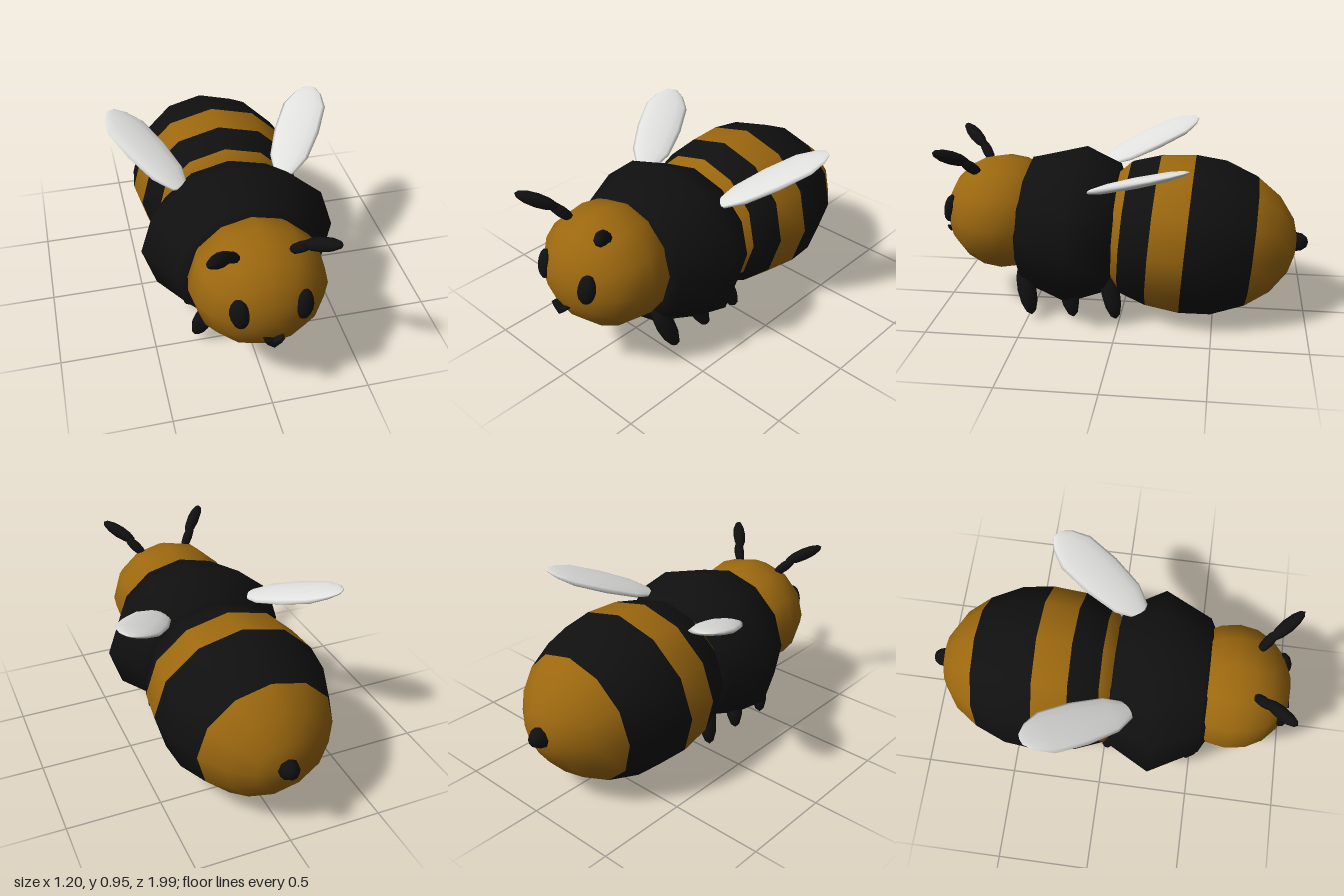
import * as THREE from 'three';

const mat = (name, color) => {
  const m = new THREE.MeshStandardMaterial({ color });
  m.name = name;
  return m;
};

// Smooth skin over elliptical rings [z, rx, ry, materialIndex], listed with z rising.
// The material index colours the band between a ring and the next one.
function loft(rings, sides = 12) {
  const pos = [], index = [];
  const geo = new THREE.BufferGeometry();
  for (const [z, rx, ry] of rings) {
    for (let j = 0; j < sides; j++) {
      const a = (j / sides) * Math.PI * 2;
      pos.push(rx * Math.cos(a), ry * Math.sin(a), z);
    }
  }
  for (let i = 0; i < rings.length - 1; i++) {
    geo.addGroup(index.length, sides * 6, rings[i][3] || 0);
    for (let j = 0; j < sides; j++) {
      const k = (j + 1) % sides;
      const a = i * sides + j, b = i * sides + k;
      index.push(a, b, b + sides, a, b + sides, a + sides);
    }
  }
  geo.setAttribute('position', new THREE.Float32BufferAttribute(pos, 3));
  geo.setIndex(index);
  geo.computeVertexNormals();
  return geo;
}

export function createModel() {
  const model = new THREE.Group();
  model.name = 'bee';
  const amber = mat('amber fur', 0x9c680f);
  const black = mat('black fur', 0x101010);
  const white = mat('wing white', 0xe0e0de);

  const add = (name, geo, material, parent = model) => {
    const mesh = new THREE.Mesh(geo, material);
    mesh.name = name;
    parent.add(mesh);
    return mesh;
  };
  const ball = (w = 10, h = 8) => new THREE.SphereGeometry(1, w, h);

  // Ellipsoid stretched between two points
  const limb = (name, from, to, r, parent) => {
    const a = new THREE.Vector3(...from), b = new THREE.Vector3(...to);
    const dir = b.clone().sub(a);
    const mesh = add(name, ball(8, 6), black, parent);
    mesh.scale.set(r, dir.length() / 2, r);
    mesh.position.copy(a).add(b).multiplyScalar(0.5);
    mesh.quaternion.setFromUnitVectors(new THREE.Vector3(0, 1, 0), dir.normalize());
  };

  // Striped abdomen, leaning back slightly
  const abdomen = add('abdomen', loft([
    [-0.59, 0, 0, 0], [-0.58, 0.075, 0.07, 0], [-0.555, 0.16, 0.15, 0], [-0.47, 0.28, 0.265, 0],
    [-0.345, 0.37, 0.355, 1], [-0.17, 0.445, 0.423, 1],
    [0, 0.465, 0.435, 0], [0.185, 0.445, 0.415, 1],
    [0.34, 0.385, 0.365, 0], [0.45, 0.25, 0.25, 0], [0.48, 0, 0, 0],
  ]), [amber, black]);
  abdomen.position.set(0, 0.435, -0.35);
  abdomen.rotation.x = -0.08;

  // Thorax
  const thorax = add('thorax', loft([
    [-0.27, 0, 0], [-0.245, 0.3, 0.27], [-0.205, 0.4, 0.35], [0, 0.515, 0.425],
    [0.255, 0.375, 0.355], [0.29, 0.31, 0.28], [0.33, 0, 0],
  ]), [black]);
  thorax.position.set(0, 0.467, 0.262);
  thorax.rotation.x = -0.06;

  // Head, with the poles facing front and back
  const head = add('head', ball(12, 10).rotateX(Math.PI / 2), amber);
  head.scale.set(0.345, 0.315, 0.315);
  head.position.set(0, 0.525, 0.66);

  // Mouth
  const smile = new THREE.Shape([[-0.05, 0.437], [-0.035, 0.413], [0, 0.385], [0.035, 0.413],
    [0.05, 0.437], [0.025, 0.432], [0, 0.418], [-0.025, 0.432]].map(p => new THREE.Vector2(...p)));
  const mouth = add('mouth', new THREE.ExtrudeGeometry(smile, { depth: 0.06, bevelEnabled: false }), black);
  mouth.position.z = 0.93;

  // Stinger
  const stinger = add('stinger', ball(8, 6).rotateX(Math.PI / 2), black);
  stinger.scale.set(0.057, 0.057, 0.075);
  stinger.position.set(0, 0.41, -0.925);

  // Paired parts, built on the left and mirrored
  for (const [side, s] of [['left', 1], ['right', -1]]) {
    const half = new THREE.Group();
    half.name = side + 'Side';
    half.scale.x = s;
    model.add(half);

    const eye = add(side + 'Eye', ball(), black, half);
    eye.scale.set(0.049, 0.078, 0.036);
    eye.position.set(0.155, 0.578, 0.927);
    eye.rotation.set(-0.2, 0.3, -0.08);

    limb(side + 'AntennaBase', [0.12, 0.765, 0.755], [0.21, 0.865, 0.84], 0.029, half);
    limb(side + 'AntennaTip', [0.165, 0.84, 0.805], [0.305, 0.93, 0.955], 0.036, half);

    ['front', 'middle', 'back'].forEach((n, i) => {
      const z = 0.47 - i * 0.23;
      limb(`${side}${n}Leg`, [0.19, 0.29, z + 0.07], [0.285, 0.03, z], 0.052, half);
    });

    // Wing: flat rounded blade rising outward and backward
    const wing = add(side + 'Wing', loft([
      [0, 0, 0], [0.015, 0.05, 0.014], [0.12, 0.102, 0.024], [0.3, 0.123, 0.028],
      [0.48, 0.118, 0.024], [0.57, 0.075, 0.015], [0.615, 0.03, 0.006], [0.62, 0, 0],
    ]), [white], half);
    const dir = new THREE.Vector3(0.285, 0.205, -0.495).normalize();
    const across = new THREE.Vector3(0.86, 0.1, 0.5);
    across.addScaledVector(dir, -across.dot(dir)).normalize();
    wing.quaternion.setFromRotationMatrix(
      new THREE.Matrix4().makeBasis(across, dir.clone().cross(across), dir));
    wing.position.set(0.27, 0.74, 0.14);
  }
  return model;
}
